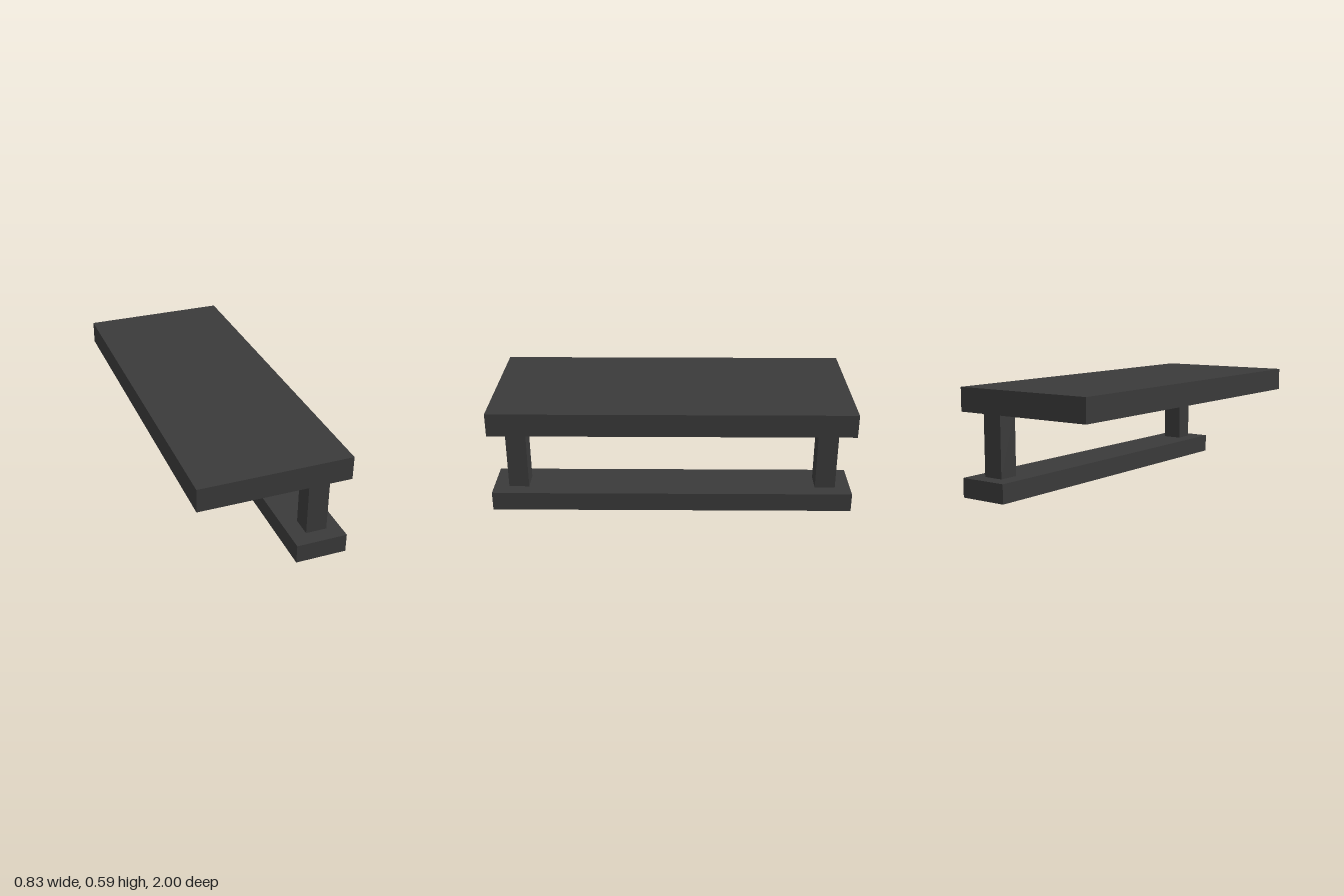
import * as THREE from 'three';

export function createModel() {
  const group = new THREE.Group();
  const charcoal = new THREE.MeshStandardMaterial({ color: 0x3a3a3a });

  // Box given by its extents along each axis
  const addBox = (name, [x0, x1], [y0, y1], [z0, z1]) => {
    const mesh = new THREE.Mesh(new THREE.BoxGeometry(x1 - x0, y1 - y0, z1 - z0), charcoal);
    mesh.position.set((x0 + x1) / 2, (y0 + y1) / 2, (z0 + z1) / 2);
    mesh.name = name;
    group.add(mesh);
  };

  // Cantilevered top slab and the narrow base rail beneath its left edge
  addBox('topSlab', [-0.415, 0.415], [0.458, 0.588], [-1, 1]);
  addBox('baseRail', [0.131, 0.415], [0, 0.106], [-1, 1]);

  // One post near each end
  addBox('frontPost', [0.221, 0.338], [0.106, 0.458], [0.803, 0.915]);
  addBox('backPost', [0.221, 0.338], [0.106, 0.458], [-0.915, -0.803]);

  return group;
}
